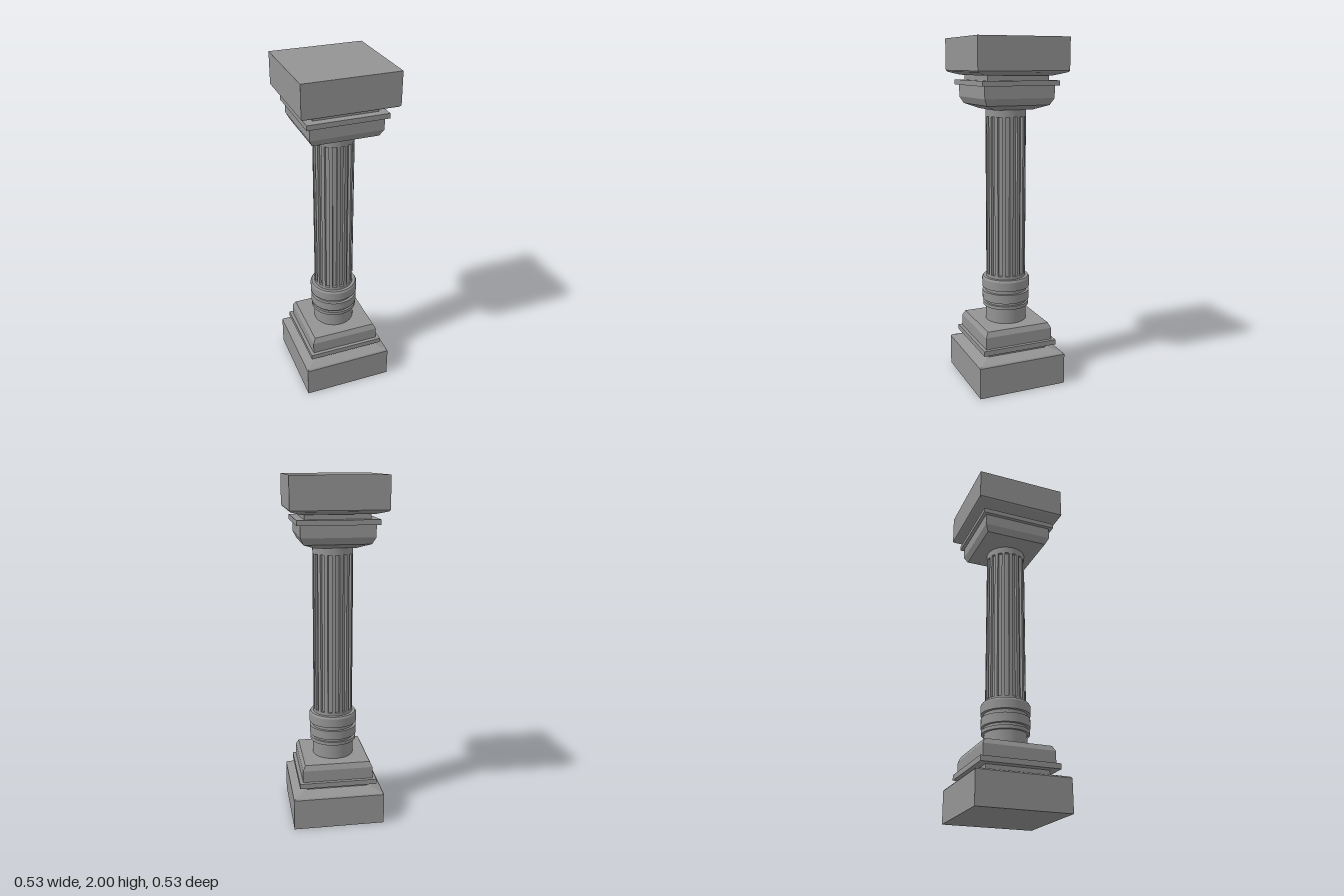
import * as THREE from 'three';
import { toCreasedNormals } from 'three/addons/utils/BufferGeometryUtils.js';

const stone = new THREE.MeshStandardMaterial({ color: 0x949494 });
const flatStone = new THREE.MeshStandardMaterial({ color: 0x949494, flatShading: true });

// Square moulding: profile of [half width, height] pairs swept around four sides
function squareMoulding(name, profile) {
  const points = profile.map(([h, y]) => new THREE.Vector2(h * Math.SQRT2, y));
  const geometry = new THREE.LatheGeometry(points, 4).toNonIndexed();
  geometry.rotateY(Math.PI / 4);
  geometry.computeVertexNormals();
  const mesh = new THREE.Mesh(geometry, flatStone);
  mesh.name = name;
  return mesh;
}

// Round moulding: profile of [radius, height] pairs
function roundMoulding(name, profile) {
  const points = profile.map(([r, y]) => new THREE.Vector2(r, y));
  const geometry = toCreasedNormals(new THREE.LatheGeometry(points, 48), 0.4);
  const mesh = new THREE.Mesh(geometry, stone);
  mesh.name = name;
  return mesh;
}

// Shaft with recessed flutes between narrow ribs
function flutedShaft(radius, bottom, top, flutes = 16) {
  const outline = [];
  const step = (Math.PI * 2) / flutes;
  const add = (r, a) => outline.push(new THREE.Vector2(r * Math.sin(a), r * Math.cos(a)));
  for (let i = 0; i < flutes; i++) {
    const a = (i - 0.25) * step;
    for (const t of [-0.26, 0, 0.26]) add(radius - 0.015, a + t * step);
    for (const t of [0.28, 0.5, 0.72]) add(radius, a + t * step);
  }
  const geometry = new THREE.ExtrudeGeometry(new THREE.Shape(outline), {
    depth: top - bottom, bevelEnabled: false,
  });
  geometry.rotateX(-Math.PI / 2).translate(0, bottom, 0);
  const mesh = new THREE.Mesh(toCreasedNormals(geometry, 0.4), stone);
  mesh.name = 'flutedShaft';
  return mesh;
}

export function createModel() {
  const group = new THREE.Group();
  group.name = 'column';

  group.add(
    // Stepped square foot
    squareMoulding('pedestal', [
      [0, 0], [0.265, 0], [0.265, 0.182], [0.258, 0.19], [0.2, 0.207], [0.18, 0.207],
      [0.18, 0.235], [0.225, 0.235], [0.225, 0.265], [0.205, 0.265],
      [0.205, 0.335], [0.19, 0.365], [0, 0.365],
    ]),
    // Round collar with three rings
    roundMoulding('collar', [
      [0.12, 0.36], [0.12, 0.455], [0.135, 0.455], [0.135, 0.475], [0.122, 0.475],
      [0.122, 0.492], [0.138, 0.492], [0.138, 0.545], [0.122, 0.545], [0.122, 0.568],
      [0.14, 0.568], [0.14, 0.62], [0.133, 0.632], [0.115, 0.632], [0.115, 0.65], [0, 0.65],
    ]),
    flutedShaft(0.115, 0.65, 1.57),
    roundMoulding('shaftTop', [[0, 1.57], [0.115, 1.57], [0.115, 1.615]]),
    // Stepped square head
    squareMoulding('capital', [
      [0, 1.61], [0.115, 1.61], [0.185, 1.637], [0.205, 1.675], [0.205, 1.742],
      [0.225, 1.742], [0.225, 1.77], [0.18, 1.77], [0.18, 1.797], [0.2, 1.797],
      [0.258, 1.814], [0.265, 1.822], [0.265, 2], [0, 2],
    ]),
  );
  return group;
}
